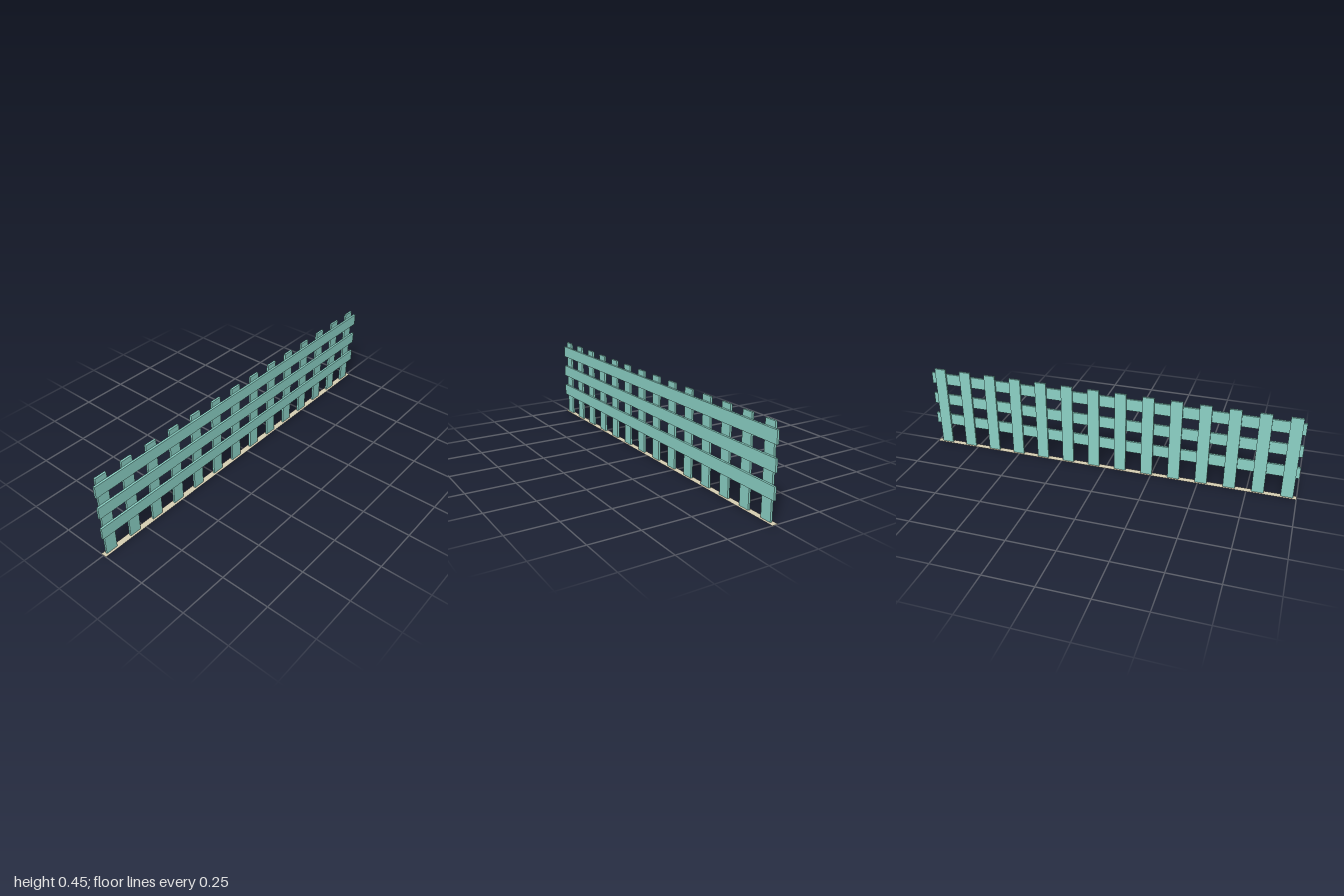
import * as THREE from 'three';

export function createModel() {
  const group = new THREE.Group();
  const paint = new THREE.MeshStandardMaterial({ color: 0x8cd2c6 });
  const base = new THREE.MeshStandardMaterial({ color: 0xd8d0b4, side: THREE.DoubleSide });

  const board = (name, w, h, x, y, z) => {
    const mesh = new THREE.Mesh(new THREE.BoxGeometry(w, h, 0.011), paint);
    mesh.name = name;
    mesh.position.set(x, y, z);
    group.add(mesh);
  };

  // upright pickets, evenly spaced, slightly off centre
  const count = 14, height = 0.446;
  for (let i = 0; i < count; i++) {
    board(`picket${i + 1}`, 0.062, height, -0.952 + i * 0.1457, 0.001 + height / 2, -0.0005);
  }

  // three full-length rails across the front
  [0.1425, 0.265, 0.3865].forEach((y, i) => board(`rail${i + 1}`, 2, 0.063, 0, y, 0.0105));

  // thin strip under the fence
  const strip = new THREE.Mesh(new THREE.PlaneGeometry(2, 0.032).rotateX(-Math.PI / 2), base);
  strip.name = 'groundStrip';
  group.add(strip);

  return group;
}
